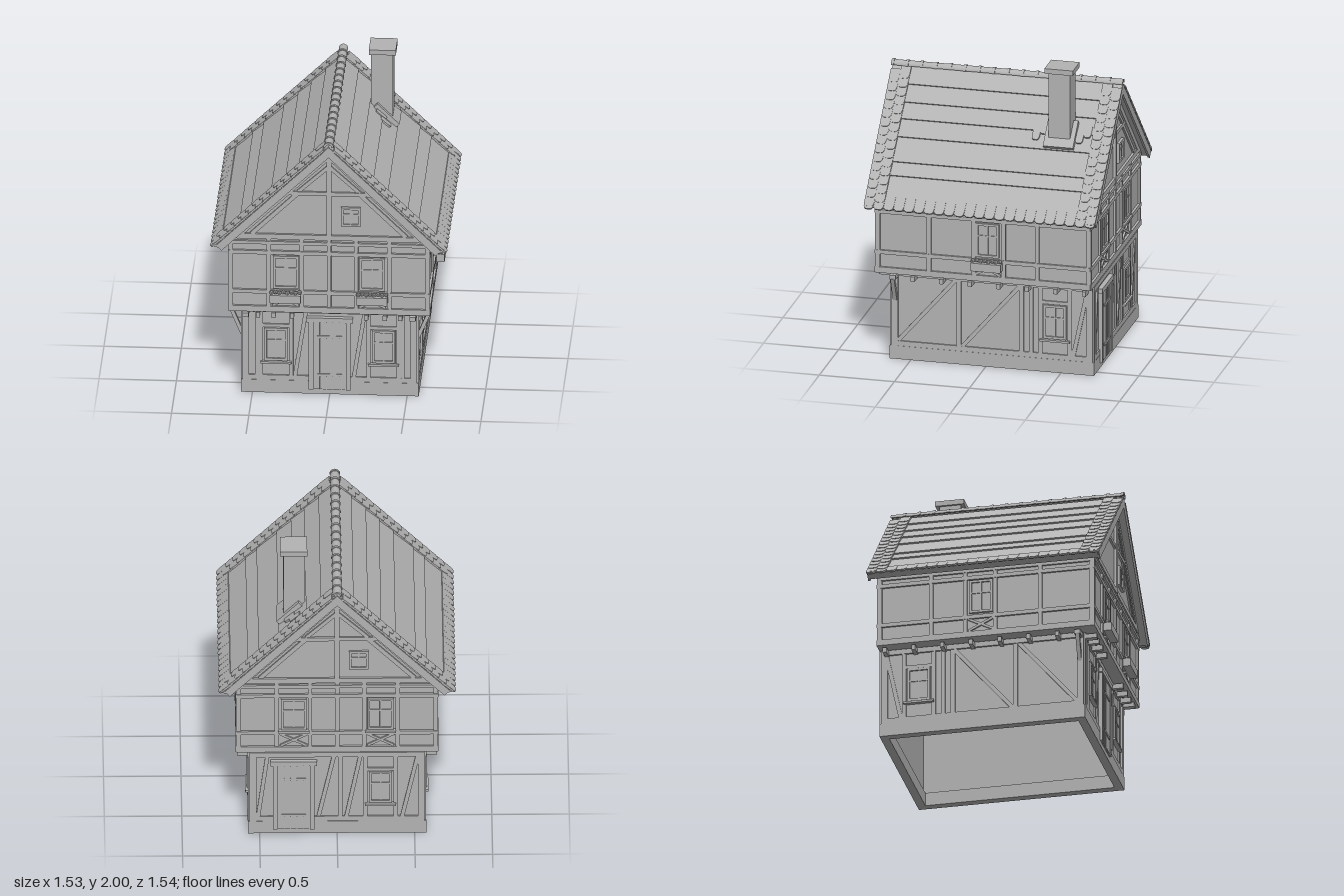
import * as THREE from 'three';

const stone = new THREE.MeshStandardMaterial({ color: 0xb3b3b3 });
stone.name = 'plain grey';

function add(parent, name, geo, x = 0, y = 0, z = 0) {
  const m = new THREE.Mesh(geo, stone);
  m.name = name;
  m.position.set(x, y, z);
  parent.add(m);
  return m;
}
function group(parent, name) {
  const g = new THREE.Group();
  g.name = name;
  parent.add(g);
  return g;
}
const box = (p, name, w, h, d, x, y, z) => add(p, name, new THREE.BoxGeometry(w, h, d), x, y, z);
const poly = pts => new THREE.Shape(pts.map(p => new THREE.Vector2(p[0], p[1])));

// Wall-local frame: x along the wall, y up, z outward from the wall surface
function wall(parent, name, x, z, turn) {
  const g = group(parent, name);
  g.position.set(x, 0, z);
  g.rotation.y = turn;
  return g;
}
// Timber lying on a wall from one point to another
function beam(g, x1, y1, x2, y2, w = 0.03, d = 0.014, name = 'timber') {
  const m = box(g, name, Math.hypot(x2 - x1, y2 - y1), w, d + 0.006, (x1 + x2) / 2, (y1 + y2) / 2, d / 2 - 0.003);
  m.rotation.z = Math.atan2(y2 - y1, x2 - x1);
}
function windowAt(g, x, y, w, h, sill = false) {
  const win = group(g, 'window'), f = 0.016;
  box(win, 'pane', w, h, 0.008, x, y, 0.003);
  for (const s of [-1, 1]) {
    beam(win, x + s * (w / 2 - f / 2), y - h / 2, x + s * (w / 2 - f / 2), y + h / 2, f, 0.018, 'windowFrame');
    beam(win, x - w / 2, y + s * (h / 2 - f / 2), x + w / 2, y + s * (h / 2 - f / 2), f, 0.018, 'windowFrame');
  }
  beam(win, x, y - h / 2, x, y + h / 2, 0.01, 0.013, 'glazingBar');
  beam(win, x - w / 2, y + h * 0.12, x + w / 2, y + h * 0.12, 0.01, 0.013, 'glazingBar');
  if (sill) box(win, 'windowSill', w + 0.05, 0.014, 0.03, x, y - h / 2 - 0.012, 0.013);
}
function crossBrace(g, x) {
  beam(g, x - 0.085, 0.655, x + 0.085, 0.74, 0.016, 0.012, 'crossBrace');
  beam(g, x - 0.085, 0.74, x + 0.085, 0.655, 0.016, 0.011, 'crossBrace');
}
function flowerBox(g, x) {
  const b = group(g, 'flowerBox');
  box(b, 'planter', 0.2, 0.055, 0.052, x, 0.722, 0.04);
  for (let i = 0; i < 8; i++)
    add(b, 'flowers', new THREE.IcosahedronGeometry(0.016, 0), x - 0.09 + i * 0.0257, 0.757 + (i % 2) * 0.006, 0.038);
}
function door(g, x) {
  const d = group(g, 'door');
  box(d, 'doorLeaf', 0.22, 0.49, 0.014, x, 0.28, 0.011);
  for (let i = -2; i <= 2; i++) box(d, 'doorPlank', 0.036, 0.475, 0.008, x + i * 0.041, 0.275, 0.019);
  for (const y of [0.14, 0.41]) box(d, 'doorHinge', 0.16, 0.018, 0.006, x, y, 0.025);
  for (const s of [-1, 1]) box(d, 'doorPost', 0.03, 0.5, 0.03, x + s * 0.12, 0.285, 0.012);
  box(d, 'doorLintel', 0.3, 0.032, 0.036, x, 0.53, 0.013);
}

// Upper storey framing on a gable end
function gableFraming(g, boxes) {
  for (const [y, w] of [[0.63, 0.04], [0.752, 0.026], [1.03, 0.026], [1.1, 0.022], [1.145, 0.035]])
    beam(g, -0.65, y, 0.65, y, w, 0.016, 'rail');
  for (const x of [-0.635, -0.39, -0.175, 0, 0.175, 0.39, 0.635]) beam(g, x, 0.61, x, 1.13, 0.028, 0.014, 'post');
  for (const s of [-1, 1]) {
    windowAt(g, s * 0.28, 0.893, 0.165, 0.23);
    crossBrace(g, s * 0.28);
    if (boxes) flowerBox(g, s * 0.28);
    else box(g, 'windowSill', 0.2, 0.016, 0.03, s * 0.28, 0.765, 0.012);
    // Rafters and slanted braces
    beam(g, 0, 1.722, s * 0.6, 1.134, 0.034, 0.016, 'rafter');
    beam(g, s * 0.5, 1.16, s * 0.2, 1.455, 0.028, 0.012, 'gableBrace');
    beam(g, s * 0.2, 1.465, s * 0.01, 1.64, 0.024, 0.012, 'gableBrace');
  }
  beam(g, 0, 1.13, 0, 1.74, 0.032, 0.018, 'kingPost');
  beam(g, -0.27, 1.455, 0.27, 1.455, 0.026, 0.014, 'collarBeam');
  windowAt(g, 0.14, 1.297, 0.125, 0.135);
}
// Lower storey rails and corner posts
function lowerRails(g, a, b) {
  beam(g, a, 0.107, b, 0.107, 0.034, 0.01, 'sillBeam');
  beam(g, a, 0.588, b, 0.588, 0.034, 0.014, 'headBeam');
  for (const x of [a + 0.022, b - 0.022]) beam(g, x, 0.09, x, 0.6, 0.044, 0.012, 'cornerPost');
}
function lowerWindow(g, x) {
  windowAt(g, x, 0.345, 0.15, 0.23, true);
  for (const s of [-1, 1]) beam(g, x + s * 0.098, 0.12, x + s * 0.098, 0.58, 0.028, 0.01, 'post');
  beam(g, x - 0.1, 0.475, x + 0.1, 0.475, 0.022, 0.01, 'windowHead');
}
// Side framing; s mirrors it front to back
function sideUpper(g, s, planter) {
  for (const [y, w] of [[0.63, 0.04], [0.752, 0.026], [1.03, 0.026], [1.085, 0.03]])
    beam(g, -0.715, y, 0.715, y, w, 0.014, 'rail');
  for (const u of [-0.7, -0.36, -0.062, 0.136, 0.36, 0.7]) beam(g, s * u, 0.61, s * u, 1.1, 0.028, 0.012, 'post');
  windowAt(g, s * 0.03, 0.893, 0.155, 0.23);
  crossBrace(g, s * 0.03);
  if (planter) flowerBox(g, s * 0.03);
}
function sideLower(g, s) {
  lowerRails(g, s > 0 ? -0.63 : -0.71, s > 0 ? 0.71 : 0.63);
  for (const u of [-0.18, 0.235]) beam(g, s * u, 0.1, s * u, 0.6, 0.03, 0.01, 'post');
  beam(g, s * 0.3, 0.1, s * 0.3, 0.6, 0.028, 0.01, 'post');
  for (const [a, b] of [[-0.59, -0.2], [-0.16, 0.23], [0.58, 0.675]]) beam(g, s * a, 0.12, s * b, 0.575, 0.026, 0.009, 'diagonalBrace');
  lowerWindow(g, s * 0.46);
}

// Round-ended roof tile: x runs down the slope, z across
function tileGeometry(w, l) {
  const s = new THREE.Shape(), h = w / 2;
  s.moveTo(0, -h);
  s.lineTo(l * 0.6, -h);
  s.quadraticCurveTo(l, -h, l, -h * 0.3);
  s.lineTo(l, h * 0.3);
  s.quadraticCurveTo(l, h, l * 0.6, h);
  s.lineTo(0, h);
  return new THREE.ExtrudeGeometry(s, { depth: 0.012, bevelEnabled: false, curveSegments: 4 }).rotateX(Math.PI / 2);
}
// Hollow rectangular ring of walls, open at top and bottom
function ring(parent, name, x, z0, z1, t, y0, y1) {
  const rect = d => [[-x + d, -z1 + d], [x - d, -z1 + d], [x - d, -z0 - d], [-x + d, -z0 - d]];
  const s = poly(rect(0));
  s.holes.push(poly(rect(t)));
  add(parent, name, new THREE.ExtrudeGeometry(s, { depth: y1 - y0, bevelEnabled: false }).rotateX(-Math.PI / 2), 0, y0, 0);
}

export function createModel() {
  const house = new THREE.Group();
  house.name = 'timberHouse';

  // Masonry and plaster bodies
  ring(house, 'foundation', 0.575, -0.72, 0.64, 0.055, 0, 0.09);
  ring(house, 'lowerWalls', 0.563, -0.708, 0.628, 0.025, 0.085, 0.615);
  const profile = poly([[-0.64, 0.61], [0.64, 0.61], [0.64, 1.12], [0, 1.75], [-0.64, 1.12]]);
  add(house, 'upperWalls', new THREE.ExtrudeGeometry(profile, { depth: 1.41, bevelEnabled: false }), 0, 0, -0.705);

  // Upper storey framing
  gableFraming(wall(house, 'frontGable', 0, 0.705, 0), true);
  gableFraming(wall(house, 'backGable', 0, -0.705, Math.PI), false);
  sideUpper(wall(house, 'leftUpperSide', 0.64, 0, Math.PI / 2), 1, true);
  sideUpper(wall(house, 'rightUpperSide', -0.64, 0, -Math.PI / 2), -1, false);

  // Lower storey framing
  const front = wall(house, 'frontLower', 0, 0.628, 0);
  lowerRails(front, -0.565, 0.565);
  door(front, 0);
  for (const s of [-1, 1]) {
    lowerWindow(front, s * 0.348);
    beam(front, s * 0.47, 0.12, s * 0.47, 0.58, 0.024, 0.009, 'post');
  }
  beam(front, -0.225, 0.12, -0.155, 0.575, 0.026, 0.009, 'diagonalBrace');
  beam(front, 0.155, 0.12, 0.225, 0.575, 0.026, 0.009, 'diagonalBrace');
  const back = wall(house, 'backLower', 0, -0.708, Math.PI);
  lowerRails(back, -0.565, 0.565);
  door(back, -0.28);
  lowerWindow(back, 0.28);
  for (const [a, b] of [[-0.51, -0.45], [-0.12, -0.02], [0.06, 0.15], [0.42, 0.52]])
    beam(back, a, 0.12, b, 0.575, 0.026, 0.009, 'diagonalBrace');
  beam(back, 0.02, 0.1, 0.02, 0.6, 0.028, 0.01, 'post');
  sideLower(wall(house, 'leftLowerSide', 0.563, 0, Math.PI / 2), 1);
  sideLower(wall(house, 'rightLowerSide', -0.563, 0, -Math.PI / 2), -1);

  // Jetty joists and corner brackets
  for (const x of [-0.46, -0.36, -0.24, 0.24, 0.36, 0.46]) box(house, 'frontJoist', 0.026, 0.034, 0.09, x, 0.58, 0.665);
  for (const s of [-1, 1]) {
    for (let i = 0; i < 7; i++) box(house, 'sideJoist', 0.09, 0.034, 0.026, s * 0.6, 0.58, 0.47 - i * 0.19);
    box(house, 'cornerJoist', 0.09, 0.03, 0.04, s * 0.6, 0.58, 0.605);
    box(house, 'cornerJoist', 0.04, 0.03, 0.09, s * 0.54, 0.58, 0.67);
    const b = box(house, 'jettyBracket', 0.024, 0.18, 0.026, s * 0.602, 0.49, 0.605);
    b.rotation.z = -s * 0.39;
  }

  // Roof halves: x runs down the slope, y is the slope normal
  const angle = Math.atan2(0.73, 0.745), len = 1.04;
  const steps = [0, 0.14, 0.27, 0.39, 0.52, 0.7, 0.8, len];
  const slab = [[0, -0.045], [len - 0.03, -0.045], [len, 0]];
  for (let i = steps.length - 1; i > 0; i--) slab.push([steps[i], 0.01], [steps[i - 1], 0]);
  const slabGeo = new THREE.ExtrudeGeometry(poly(slab), { depth: 1.52, bevelEnabled: false }).translate(0, 0, -0.76);
  const tile = tileGeometry(0.066, 0.1), smallTile = tileGeometry(0.05, 0.085);
  for (const s of [1, -1]) {
    const half = group(house, s > 0 ? 'leftRoof' : 'rightRoof');
    half.rotation.y = s > 0 ? 0 : Math.PI;
    const slope = group(half, 'roofSlope');
    slope.position.y = 1.81;
    slope.rotation.z = -angle;
    add(slope, 'roofSlab', slabGeo);
    const lay = (geo, x, z) => { add(slope, 'roofTile', geo, x, 0.012, z).rotation.z = 0.06; };
    // Verge tiles in staggered columns
    for (const e of [-1, 1]) {
      for (let r = 0; r < 15; r++)
        for (let c = 0; c < 2; c++) lay(tile, 0.02 + r * 0.064 - c * 0.032 + 0.02, e * (0.737 - c * 0.066));
      box(slope, 'bargeBoard', len - 0.02, 0.05, 0.014, len / 2 - 0.01, -0.028, e * 0.76);
    }
    // Eaves tiles
    for (let i = 0; i < 23; i++) lay(tile, 0.955, -0.737 + i * 0.067);
    // Tiles around the chimney
    if (s > 0) for (let i = 0; i < 8; i++)
      if (i < 2 || i > 5) lay(smallTile, 0.33 + (i % 2) * 0.045, -0.435 + (i - 3.5) * 0.048);
  }

  // Ridge tiles: overlapping half pipes
  const pipe = (r, l) => new THREE.CylinderGeometry(r, r, l, 14, 1, true, -Math.PI / 2, Math.PI).rotateX(-Math.PI / 2);
  const ridge = group(house, 'ridge');
  for (let i = 0; i < 16; i++) {
    const z = -0.72 + i * 0.096;
    for (const [r, l, dz] of [[0.029, 0.1, 0], [0.034, 0.018, 0.042]]) {
      const shape = new THREE.Shape();
      shape.absarc(0, 0, r, 0, Math.PI, false);
      shape.absarc(0, 0, r - 0.01, Math.PI, 0, true);
      add(ridge, 'ridgeTile', new THREE.ExtrudeGeometry(shape, { depth: l, bevelEnabled: false, curveSegments: 8 }), 0, 1.81, z + dz - l / 2);
    }
  }

  // Chimney with cap and sloped collar
  const chimney = group(house, 'chimney');
  box(chimney, 'chimneyStack', 0.14, 0.56, 0.143, 0.275, 1.69, -0.43);
  box(chimney, 'chimneyCap', 0.175, 0.034, 0.19, 0.278, 1.983, -0.431);
  const collar = box(chimney, 'chimneyCollar', 0.2, 0.04, 0.2, 0.305, 1.535, -0.432);
  collar.rotation.z = -angle;

  return house;
}
